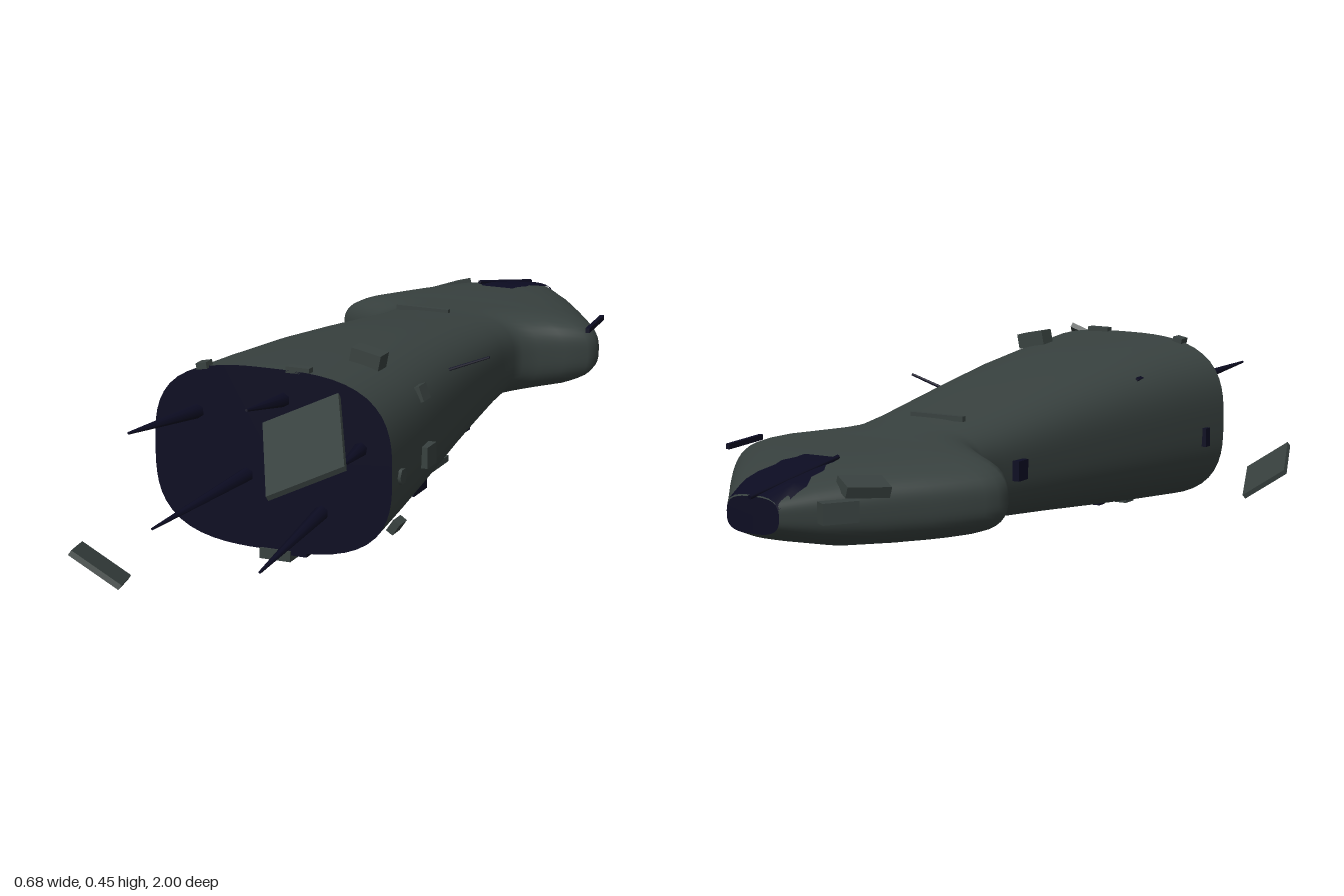
import * as THREE from 'three';

const hullMat = new THREE.MeshStandardMaterial({ color: 0x38413f });
hullMat.name = 'slate hull';
const darkMat = new THREE.MeshStandardMaterial({ color: 0x0c0c22 });
darkMat.name = 'dark navy';

// Hull stations: z, half width, bottom, top
const STATIONS = [
  [-0.98, 0.065, 0.205, 0.282], [-0.9, 0.12, 0.178, 0.3], [-0.8, 0.19, 0.155, 0.318],
  [-0.7, 0.258, 0.146, 0.326], [-0.65, 0.29, 0.143, 0.329], [-0.6, 0.32, 0.141, 0.332],
  [-0.57, 0.334, 0.14, 0.334], [-0.54, 0.337, 0.139, 0.335], [-0.515, 0.325, 0.137, 0.337],
  [-0.48, 0.277, 0.135, 0.34], [-0.44, 0.225, 0.132, 0.343], [-0.41, 0.195, 0.13, 0.346],
  [-0.38, 0.184, 0.127, 0.349], [-0.3, 0.186, 0.119, 0.358], [-0.15, 0.2, 0.104, 0.377],
  [0, 0.216, 0.09, 0.395], [0.2, 0.24, 0.07, 0.416], [0.4, 0.262, 0.051, 0.43],
  [0.585, 0.28, 0.035, 0.44],
];
const SIDES = 64;

function section(z) {
  let i = 0;
  while (i < STATIONS.length - 2 && STATIONS[i + 1][0] < z) i++;
  const a = STATIONS[i], b = STATIONS[i + 1];
  const t = THREE.MathUtils.clamp((z - a[0]) / (b[0] - a[0]), 0, 1);
  const [w, lo, hi] = [1, 2, 3].map((k) => a[k] + (b[k] - a[k]) * t);
  return { w, h: (hi - lo) / 2, y: (hi + lo) / 2 };
}

// Rounded cross-section as a cubic superellipse
function ring(z) {
  const s = section(z), pts = [];
  for (let j = 0; j < SIDES; j++) {
    const c = Math.cos((j / SIDES) * 2 * Math.PI), n = Math.sin((j / SIDES) * 2 * Math.PI);
    const r = (Math.abs(c) ** 3 + Math.abs(n) ** 3) ** (-1 / 3);
    pts.push(s.w * r * c, s.y + s.h * r * n, z);
  }
  return pts;
}

function geometry(pos, index) {
  const g = new THREE.BufferGeometry();
  g.setAttribute('position', new THREE.Float32BufferAttribute(pos, 3));
  g.setIndex(index);
  g.computeVertexNormals();
  return g;
}

function hullGeometry() {
  const pos = [], index = [];
  STATIONS.forEach(([z], i) => {
    pos.push(...ring(z));
    if (i === STATIONS.length - 1) return;
    for (let j = 0; j < SIDES; j++) {
      const a = i * SIDES + j, b = i * SIDES + ((j + 1) % SIDES);
      index.push(a, b, b + SIDES, a, b + SIDES, a + SIDES);
    }
  });
  return geometry(pos, index);
}

function capGeometry(z, front) {
  const pos = [...ring(z), 0, section(z).y, z], index = [];
  for (let j = 0; j < SIDES; j++) {
    const k = (j + 1) % SIDES;
    index.push(SIDES, front ? j : k, front ? k : j);
  }
  return geometry(pos, index);
}

// Scorched strip that follows the top of the nose
function scorchGeometry() {
  const rows = [[-0.982, -0.07, 0.07], [-0.93, -0.075, 0.068], [-0.9, -0.078, 0.074], [-0.86, -0.062, 0.072],
    [-0.82, -0.066, 0.058], [-0.79, -0.05, 0.062], [-0.76, -0.052, 0.048], [-0.73, -0.036, 0.045]];
  const pos = [], index = [], n = 10;
  rows.forEach(([z, l, r], i) => {
    const s = section(z);
    for (let j = 0; j <= n; j++) {
      const x = THREE.MathUtils.clamp(l + ((r - l) * j) / n, -s.w * 0.99, s.w * 0.99);
      pos.push(x, s.y + s.h * Math.cbrt(1 - Math.abs(x / s.w) ** 3) + 0.004, z);
      if (i < rows.length - 1 && j < n) {
        const a = i * (n + 1) + j, d = a + n + 1;
        index.push(a, d, d + 1, a, d + 1, a + 1);
      }
    }
  });
  return geometry(pos, index);
}

export function createModel() {
  const model = new THREE.Group();
  const add = (name, geo, mat) => {
    const m = new THREE.Mesh(geo, mat);
    m.name = name;
    model.add(m);
    return m;
  };
  const box = (name, mat, size, at, rot = [0, 0, 0]) => {
    const m = add(name, new THREE.BoxGeometry(...size), mat);
    m.position.set(...at);
    m.rotation.set(...rot);
  };
  // Tapered rod between two points
  const rod = (name, mat, from, to, r0, r1) => {
    const a = new THREE.Vector3(...from), b = new THREE.Vector3(...to);
    const m = add(name, new THREE.CylinderGeometry(r1, r0, a.distanceTo(b), 6), mat);
    m.position.copy(a).lerp(b, 0.5);
    m.quaternion.setFromUnitVectors(new THREE.Vector3(0, 1, 0), b.sub(a).normalize());
  };
  // Loose plate from one corner and its two neighbours
  const plate = (name, corner, p, q) => {
    const c = new THREE.Vector3(...corner);
    const u = new THREE.Vector3(...p).sub(c), v = new THREE.Vector3(...q).sub(c);
    const n = u.clone().cross(v).normalize();
    const m = add(name, new THREE.BoxGeometry(u.length(), v.length(), 0.012), hullMat);
    m.position.copy(c).addScaledVector(u, 0.5).addScaledVector(v, 0.5);
    const ux = u.normalize();
    m.quaternion.setFromRotationMatrix(new THREE.Matrix4().makeBasis(ux, n.clone().cross(ux), n));
  };

  // Body
  add('hull', hullGeometry(), hullMat);
  add('brokenFrontFace', capGeometry(0.585, true), darkMat);
  add('noseCap', capGeometry(-0.98, false), darkMat);
  add('noseScorch', scorchGeometry(), darkMat);
  rod('noseSpine', darkMat, [-0.05, 0.332, -0.745], [-0.006, 0.284, -0.998], 0.005, 0.005);

  // Spikes sticking out of the broken face
  [
    [[-0.175, 0.325, 0.57], [-0.2, 0.345, 0.85]],
    [[-0.06, 0.197, 0.57], [-0.068, 0.2, 1]],
    [[0.028, 0.372, 0.57], [0.033, 0.4, 0.77]],
    [[0.115, 0.135, 0.57], [0.133, 0.11, 0.92]],
    [[0.205, 0.285, 0.57], [0.235, 0.297, 0.75]],
  ].forEach(([a, b]) => rod('spike', darkMat, a, b, 0.017, 0.003));

  // Drifting plates
  plate('upperDebris', [0.207, 0.43, 0.69], [0.315, 0.345, 0.9], [0.055, 0.364, 0.735]);
  plate('lowerDebris', [-0.265, 0.118, 0.99], [-0.163, 0.048, 0.965], [-0.338, 0.08, 0.825]);

  // Top fittings
  box('topBox', hullMat, [0.07, 0.035, 0.045], [0.143, 0.433, 0.395], [0, 0, -0.2]);
  box('topRimBox', hullMat, [0.055, 0.014, 0.02], [0.062, 0.441, 0.575]);
  box('topRimBox', hullMat, [0.025, 0.014, 0.03], [-0.16, 0.43, 0.58], [0, 0, 0.2]);
  box('topRib', hullMat, [0.135, 0.012, 0.012], [-0.033, 0.357, -0.33]);
  box('topRib', darkMat, [0.008, 0.012, 0.065], [-0.204, 0.373, 0.3], [0, 0.1, 0.6]);

  // Left side fittings
  box('sidePanel', hullMat, [0.03, 0.048, 0.05], [0.258, 0.215, 0.35]);
  box('sidePanel', hullMat, [0.03, 0.035, 0.04], [0.233, 0.345, 0.33], [0, 0, 0.35]);
  box('sidePanel', hullMat, [0.018, 0.03, 0.04], [0.249, 0.095, 0.49], [0, 0, -0.6]);
  rod('sidePort', hullMat, [0.26, 0.22, 0.53], [0.283, 0.22, 0.53], 0.018, 0.018);
  rod('antenna', darkMat, [0.2, 0.335, 0.1], [0.3, 0.373, 0.082], 0.004, 0.003);
  box('wingBlade', darkMat, [0.01, 0.012, 0.14], [0.326, 0.303, -0.56], [0, 0.08, 0]);

  // Right side fittings
  box('sideBox', darkMat, [0.025, 0.045, 0.04], [-0.193, 0.24, -0.25]);
  box('sideBox', darkMat, [0.02, 0.045, 0.02], [-0.271, 0.21, 0.5]);
  box('noseBox', hullMat, [0.055, 0.025, 0.1], [-0.16, 0.291, -0.815], [0.1, -0.55, 0.35]);
  box('noseBox', hullMat, [0.03, 0.045, 0.08], [-0.148, 0.25, -0.89], [0, -0.6, 0]);

  // Underside fittings
  box('bottomRimBox', hullMat, [0.073, 0.024, 0.04], [0.007, 0.026, 0.57]);
  box('bottomRimBox', darkMat, [0.04, 0.012, 0.03], [0.06, 0.034, 0.57]);
  box('bottomBox', darkMat, [0.1, 0.016, 0.025], [0, 0.047, 0.39]);
  box('bottomBox', darkMat, [0.045, 0.035, 0.075], [0.155, 0.088, 0.185]);
  box('bottomRib', hullMat, [0.014, 0.014, 0.13], [0.165, 0.1, 0.07]);
  box('bottomRib', darkMat, [0.02, 0.018, 0.11], [0.125, 0.113, -0.165]);
  box('bottomBox', darkMat, [0.05, 0.028, 0.055], [0.12, 0.148, -0.69]);

  return model;
}
